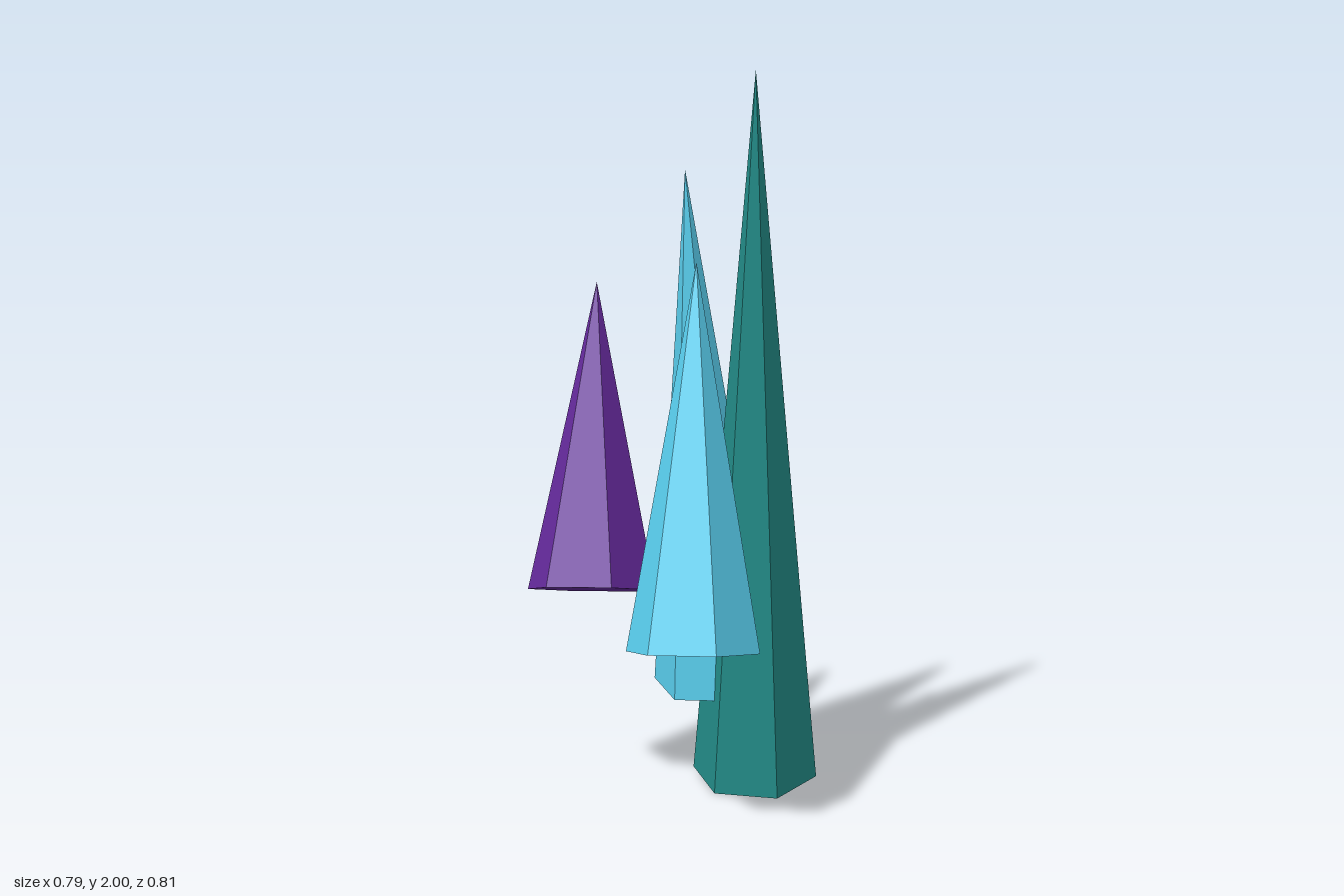
import * as THREE from 'three';

const RADIUS = 0.177;

// Six-sided spike: base centre and tip give its height and lean
function makeCrystal(name, color, base, tip) {
  const foot = new THREE.Vector3(...base);
  const axis = new THREE.Vector3(...tip).sub(foot);
  const height = axis.length();
  axis.normalize();

  const geometry = new THREE.ConeGeometry(RADIUS, height, 6);
  geometry.translate(0, height / 2, 0);

  const crystal = new THREE.Mesh(
    geometry,
    new THREE.MeshStandardMaterial({ color, flatShading: true })
  );
  crystal.name = name;
  crystal.position.copy(foot);
  // Lean forward or back first, then sideways
  crystal.rotation.set(Math.asin(axis.z), 0, Math.atan2(-axis.x, axis.y), 'ZYX');
  return crystal;
}

export function createModel() {
  const group = new THREE.Group();
  group.name = 'crystalCluster';
  const teal = 0x238e8a, blue = 0x5ad0f0, purple = 0x652a9c;

  group.add(
    makeCrystal('tallTealCrystal', teal, [0.243, 0.02, -0.148], [0.155, 2.0, 0.06]),
    makeCrystal('backBlueCrystal', blue, [0.153, 0.28, -0.23], [0.03, 1.735, -0.135]),
    makeCrystal('frontBlueCrystal', blue, [-0.075, 0.517, 0.231], [0.013, 1.505, 0.006]),
    makeCrystal('purpleCrystal', purple, [-0.243, 0.608, -0.125], [-0.15, 1.415, -0.36])
  );
  return group;
}
